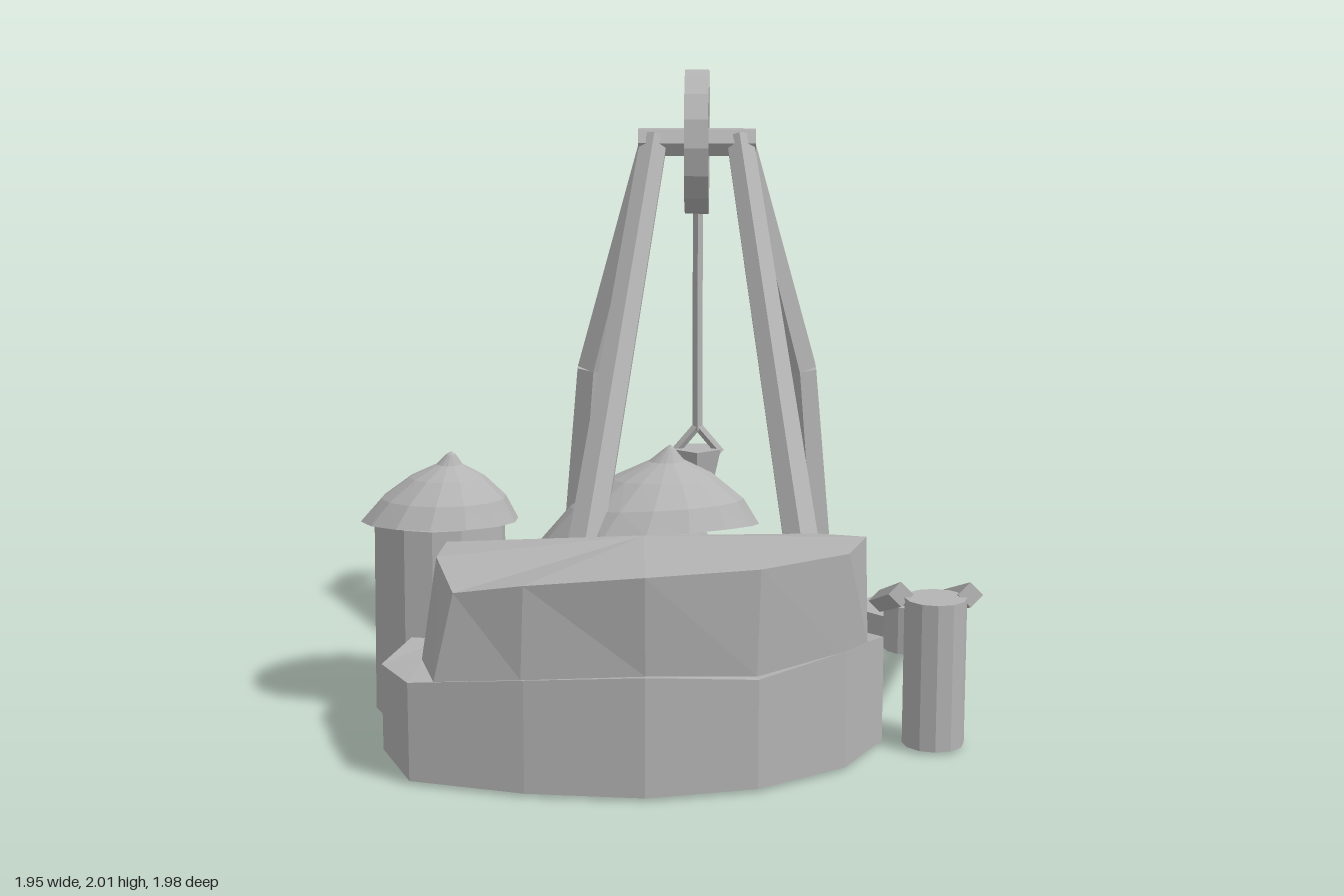
import * as THREE from 'three';

export function createModel() {
  const root = new THREE.Group();
  root.name = 'mineWithWinch';
  const stone = new THREE.MeshStandardMaterial({ color: 0xb4b4b4, flatShading: true, side: THREE.DoubleSide });
  stone.name = 'plain grey';

  const V = (x, y, z) => new THREE.Vector3(x, y, z);
  const UP = V(0, 1, 0);
  function add(name, geo, x = 0, y = 0, z = 0, parent = root) {
    const m = new THREE.Mesh(geo, stone);
    m.name = name;
    m.position.set(x, y, z);
    parent.add(m);
    return m;
  }
  // Faceted bar between two points, radius r0 at a and r1 at b
  function beam(name, a, b, r0, r1 = r0, sides = 6) {
    const m = add(name, new THREE.CylinderGeometry(r1, r0, a.distanceTo(b), sides));
    m.position.copy(a).add(b).multiplyScalar(0.5);
    m.quaternion.setFromUnitVectors(UP, b.clone().sub(a).normalize());
    return m;
  }
  const lathe = (pts, sides) => new THREE.LatheGeometry(pts.map(p => new THREE.Vector2(p[0], p[1])), sides);
  // Drum closed on top and open underneath
  const drum = (name, x, z, rBottom, rTop, h, sides) =>
    add(name, lathe([[rBottom, 0], [rTop, h], [0, h]], sides), x, 0, z);
  // Five-sided boulder
  function rock(name, x, y, z, r, turn) {
    const geo = lathe([[0, -0.55 * r], [0.7 * r, -0.55 * r], [r, 0], [0.55 * r, 0.55 * r], [0, 0.62 * r]], 5);
    add(name, geo, x, y, z).rotation.set(0.12, turn, 0.1);
  }

  // Hill: wall, ledge, upper wall and fan-shaped top, open underneath
  const outer = [ // x, z, ledge height
    [-0.8, 0.34, 0.28], [-0.86, 0.59, 0.27], [-0.745, 0.86, 0.3], [-0.4, 0.955, 0.34],
    [-0.05, 0.985, 0.36], [0.275, 0.9, 0.33], [0.535, 0.715, 0.36], [0.66, 0.47, 0.33],
    [0.47, 0.19, 0.3], [0.24, 0.08, 0.28], [-0.1, 0.06, 0.28], [-0.5, 0.08, 0.28],
  ];
  const inner = [ // foot x, foot z, foot height, top x, top z, top height
    [-0.71, 0.38, 0.28, -0.68, 0.39, 0.6], [-0.74, 0.57, 0.28, -0.69, 0.57, 0.6],
    [-0.67, 0.85, 0.3, -0.61, 0.84, 0.565], [-0.41, 0.92, 0.33, -0.4, 0.92, 0.61],
    [-0.05, 0.94, 0.35, -0.05, 0.97, 0.65], [0.27, 0.87, 0.33, 0.28, 0.89, 0.655],
    [0.52, 0.7, 0.35, 0.54, 0.71, 0.655], [0.61, 0.49, 0.32, 0.6, 0.51, 0.655],
    [0.45, 0.23, 0.36, 0.46, 0.3, 0.61], [0.24, 0.15, 0.41, 0.24, 0.24, 0.59],
    [-0.1, 0.16, 0.41, -0.1, 0.26, 0.58], [-0.45, 0.2, 0.38, -0.44, 0.29, 0.58],
  ];
  const rings = [
    outer.map(p => [p[0], 0, p[1]]),
    outer.map(p => [p[0], p[2], p[1]]),
    inner.map(p => [p[0], p[2], p[1]]),
    inner.map(p => [p[3], p[5], p[4]]),
    inner.map(() => [-0.07, 0.655, 0.51]),
  ];
  const pos = [];
  for (let k = 0; k < 4; k++) {
    for (let i = 0; i < 12; i++) {
      const j = (i + 1) % 12, lo = rings[k], hi = rings[k + 1];
      pos.push(...lo[i], ...lo[j], ...hi[i]);
      if (k < 3) pos.push(...lo[j], ...hi[j], ...hi[i]);
    }
  }
  const hill = new THREE.BufferGeometry();
  hill.setAttribute('position', new THREE.Float32BufferAttribute(pos, 3));
  hill.computeVertexNormals();
  add('hill', hill);
  const step = add('backStep', new THREE.BoxGeometry(0.22, 0.28, 0.26), -0.43, 0.14, 0.1);
  step.rotation.y = 0.5;

  // Two round huts; each roof rim is sloped by (riseX, riseZ) and its tip leans by (leanX, leanZ)
  function hut(name, x, z, r, wall, roofR, roofY, roofH, sides, riseX, riseZ, leanX, leanZ) {
    drum(name + 'Wall', x, z, r, r * 0.96, wall, sides);
    const geo = lathe([[0, roofH * 0.2], [roofR, 0], [roofR * 0.79, roofH * 0.34], [roofR * 0.47, roofH * 0.64],
      [roofR * 0.16, roofH * 0.82], [0.015, roofH * 0.96], [0, roofH]], sides);
    const p = geo.attributes.position;
    for (let i = 0; i < p.count; i++) {
      const px = p.getX(i), py = p.getY(i), pz = p.getZ(i), t = py / roofH;
      p.setXYZ(i, px + leanX * t, py + (riseX * px + riseZ * pz) * (1 - t), pz + leanZ * t);
    }
    geo.computeVertexNormals();
    add(name + 'Roof', geo, x, roofY, z);
  }
  hut('sideHut', -0.73, 0.15, 0.215, 0.62, 0.25, 0.61, 0.23, 14, 0, 0.1, 0.045, 0.04);
  hut('middleHut', -0.07, -0.02, 0.275, 0.47, 0.355, 0.53, 0.31, 16, 0.08, 0.21, 0.07, 0.09);

  // Winch legs, mirrored about the wheel plane
  const WX = 0.077, WY = 1.765, WZ = -0.34;
  for (const s of [-1, 1]) {
    const side = s > 0 ? 'left' : 'right';
    beam(side + 'FrontLeg', V(WX + s * 0.425, 0.02, 0.52), V(WX + s * 0.14, 1.78, WZ), 0.068, 0.05);
    const knee = V(WX + s * 0.345, 1, -0.405);
    beam(side + 'BackLegLower', V(WX + s * 0.425, 0, -0.46), knee, 0.075, 0.064);
    beam(side + 'BackLegUpper', knee, V(WX + s * 0.145, 1.78, WZ), 0.064, 0.046);
  }
  beam('axle', V(-0.115, WY, WZ), V(0.27, WY, WZ), 0.05);

  // Winch wheel: extruded rim with six spokes
  const rim = new THREE.Shape();
  const hole = new THREE.Path();
  for (let i = 0; i < 16; i++) {
    const a = (i / 16) * Math.PI * 2, c = Math.cos(a), s = Math.sin(a);
    rim[i ? 'lineTo' : 'moveTo'](0.236 * c, 0.236 * s);
    hole[i ? 'lineTo' : 'moveTo'](0.185 * c, 0.185 * s);
  }
  rim.closePath();
  hole.closePath();
  rim.holes.push(hole);
  const rimGeo = new THREE.ExtrudeGeometry(rim, { depth: 0.078, bevelEnabled: false });
  rimGeo.translate(0, 0, -0.039);
  rimGeo.rotateY(Math.PI / 2);
  add('wheelRim', rimGeo, WX, WY, WZ);
  for (let i = 0; i < 6; i++) {
    const a = (i * Math.PI) / 3;
    beam('wheelSpoke', V(WX, WY, WZ), V(WX, WY + 0.2 * Math.sin(a), WZ + 0.2 * Math.cos(a)), 0.017, 0.017, 5);
  }

  // Rope with its hanging bucket
  beam('rope', V(WX, 0.75, -0.585), V(WX, 1.78, -0.585), 0.018, 0.018, 5);
  add('bucket', new THREE.CylinderGeometry(0.085, 0.058, 0.12, 5), WX, 0.625, -0.585);
  for (const s of [-1, 1])
    beam('bucketHandle', V(WX + s * 0.08, 0.67, -0.585), V(WX, 0.765, -0.585), 0.016, 0.016, 5);

  // Ore cart
  const cartX = -0.068, cartZ = -0.65;
  const tub = add('cartTub', new THREE.CylinderGeometry(0.255, 0.18, 0.22, 8), cartX, 0.21, cartZ);
  tub.rotation.y = Math.PI / 8;
  rock('cartOre', -0.16, 0.35, -0.64, 0.09, 0.3);
  rock('cartOre', 0.02, 0.355, -0.69, 0.11, 1.1);
  rock('cartOre', -0.06, 0.345, -0.55, 0.08, 0.7);
  for (const sx of [-1, 1]) for (const sz of [-1, 1]) {
    const x = cartX + sx * 0.157, z = cartZ + sz * 0.13;
    beam('cartWheel', V(x - 0.027, 0.115, z), V(x + 0.027, 0.115, z), 0.06, 0.06, 8);
  }

  // Track
  for (const s of [-1, 1])
    add('rail', new THREE.BoxGeometry(0.052, 0.04, 0.75), cartX + s * 0.158, 0.043, -0.615);
  for (const z of [-0.895, -0.4])
    add('sleeper', new THREE.BoxGeometry(0.43, 0.035, 0.065), cartX, 0.02, z);

  // Sluice: tall support, low support, basin, sloping rails and stream
  const SX = 0.815;
  drum('sluiceTallSupport', SX, 0.485, 0.095, 0.095, 0.46, 12);
  drum('sluiceLowSupport', SX, -0.49, 0.09, 0.09, 0.165, 12);
  drum('sluiceBasin', SX, -0.63, 0.15, 0.165, 0.11, 12);
  const sluice = new THREE.Group();
  sluice.name = 'sluice';
  sluice.position.set(SX, 0.32, 0.005);
  sluice.rotation.x = -Math.atan2(0.295, 0.95);
  root.add(sluice);
  for (const s of [-1, 1])
    add('sluiceRail', new THREE.BoxGeometry(0.054, 0.054, 1), s * 0.105, 0, 0, sluice).rotation.z = Math.PI / 4;
  const stream = lathe([[0, -0.49], [0.06, -0.25], [0.086, 0], [0.075, 0.2], [0.03, 0.42], [0, 0.44]], 8);
  stream.rotateX(Math.PI / 2);
  stream.scale(1, 0.22, 1);
  add('sluiceStream', stream, 0, -0.01, 0, sluice);

  // Loose rocks behind the side hut
  rock('looseRock', -0.76, 0.06, -0.1, 0.09, 0.4);
  rock('looseRock', -0.56, 0.05, -0.04, 0.08, 1.3);
  rock('looseRock', -0.66, 0.045, -0.08, 0.06, 0.9);

  return root;
}
